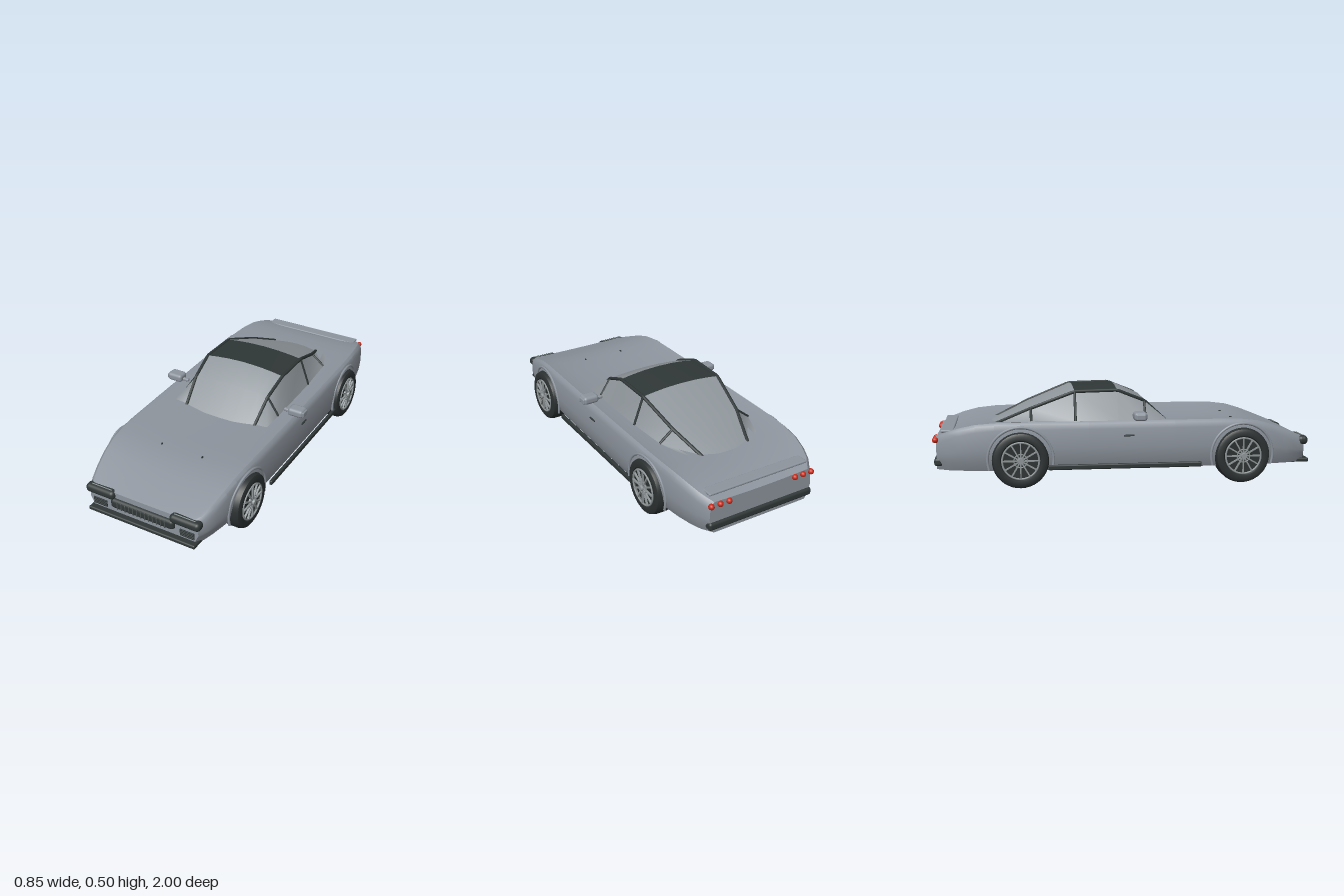
import * as THREE from 'three';
import { toCreasedNormals } from 'three/addons/utils/BufferGeometryUtils.js';
import { RoundedBoxGeometry } from 'three/addons/geometries/RoundedBoxGeometry.js';

const mat = (name, color, side = THREE.FrontSide) => {
  const m = new THREE.MeshStandardMaterial({ color, side });
  m.name = name;
  return m;
};
const V = (x, y, z) => new THREE.Vector3(x, y, z);

// body stations: z, half width, top height at the fender, dip at the centre
const STATIONS = [
  [0.968, 0.315, 0.228, 0.004], [0.93, 0.336, 0.245, 0.008], [0.86, 0.355, 0.273, 0.014],
  [0.78, 0.37, 0.304, 0.02], [0.7, 0.38, 0.328, 0.026], [0.61, 0.386, 0.339, 0.03],
  [0.5, 0.389, 0.342, 0.034], [0.25, 0.391, 0.342, 0.036], [-0.2, 0.392, 0.342, 0.036],
  [-0.55, 0.391, 0.342, 0.036], [-0.68, 0.385, 0.339, 0.033], [-0.78, 0.374, 0.33, 0.027],
  [-0.86, 0.357, 0.312, 0.02], [-0.92, 0.337, 0.292, 0.014], [-0.978, 0.3, 0.264, 0.008],
];

function halfWidth(z) {
  for (let i = 0; i < STATIONS.length - 1; i++) {
    const a = STATIONS[i], b = STATIONS[i + 1];
    if (z <= a[0] && z >= b[0]) return a[1] + (b[1] - a[1]) * (a[0] - z) / (a[0] - b[0]);
  }
  return STATIONS[0][1];
}

// one closed cross-section, running from the floor up the left side and back down the right
function bodySection([z, w, top, dip]) {
  const y0 = 0.09, h = top - y0;
  const half = [[w - 0.028, y0], [w - 0.006, y0 + 0.05], [w, y0 + h * 0.45], [w - 0.003, top - 0.04],
    [w - 0.01, top - 0.014], [w - 0.024, top - 0.002]];
  for (const t of [0.88, 0.7, 0.45, 0.2]) half.push([w * t, top - dip * (1 - t * t)]);
  const pts = [[0, y0], ...half, [0, top - dip], ...half.slice().reverse().map(([x, y]) => [-x, y])];
  return pts.map(([x, y]) => V(x, y, z));
}

function bodyGeometry() {
  const rings = STATIONS.map(bodySection), n = rings[0].length, last = rings.length - 1;
  const pos = rings.flat().flatMap(p => p.toArray()), index = [];
  for (let s = 0; s < last; s++) {
    for (let i = 0; i < n; i++) {
      const j = (i + 1) % n, a = s * n + i, b = s * n + j;
      index.push(a, a + n, b, b, a + n, b + n);
    }
  }
  // end caps
  for (const [s, flip] of [[0, false], [last, true]]) {
    const c = pos.length / 3;
    pos.push(0, 0.16, STATIONS[s][0]);
    for (let i = 0; i < n; i++) {
      const a = s * n + i, b = s * n + (i + 1) % n;
      index.push(c, flip ? b : a, flip ? a : b);
    }
  }
  const g = new THREE.BufferGeometry();
  g.setAttribute('position', new THREE.Float32BufferAttribute(pos, 3));
  g.setIndex(index);
  return toCreasedNormals(g, 0.6);
}

// open surface through rows of points
function sheet(rows) {
  const n = rows[0].length, index = [];
  for (let r = 0; r < rows.length - 1; r++) {
    for (let i = 0; i < n - 1; i++) {
      const a = r * n + i;
      index.push(a, a + 1, a + n, a + 1, a + n + 1, a + n);
    }
  }
  const g = new THREE.BufferGeometry();
  g.setAttribute('position', new THREE.Float32BufferAttribute(rows.flat().flatMap(p => p.toArray()), 3));
  g.setIndex(index);
  g.computeVertexNormals();
  return g;
}

export function createModel() {
  const paint = mat('grey paint', 0x8d949d);
  const glass = mat('grey glass', 0x90979c, THREE.DoubleSide);
  const black = mat('black trim', 0x2f3736);
  const roofBlack = mat('roof black', 0x2f3736, THREE.DoubleSide);
  const rubber = mat('tyre rubber', 0x2b3030);
  const metal = mat('wheel metal', 0x8f9698);
  const slatGrey = mat('slat grey', 0x4a5150);
  const red = mat('lamp red', 0xc92a18);

  const car = new THREE.Group();
  car.name = 'sportsCar';
  const add = (name, geo, m, x = 0, y = 0, z = 0, parent = car) => {
    const mesh = new THREE.Mesh(geo, m);
    mesh.name = name;
    mesh.position.set(x, y, z);
    parent.add(mesh);
    return mesh;
  };
  const box = (w, h, d, r) => new RoundedBoxGeometry(w, h, d, 3, r);
  // straight-segment bar along points
  const bar = (pts, r) => {
    const path = new THREE.CurvePath();
    for (let i = 0; i < pts.length - 1; i++) path.add(new THREE.LineCurve3(pts[i], pts[i + 1]));
    return new THREE.TubeGeometry(path, Math.max(2, pts.length * 8), r, 8);
  };

  add('body', bodyGeometry(), paint);

  // cabin: rail position, crown over the rail, base of the side glass
  const cabin = [
    { rail: V(0.21, 0.308, 0.238), crown: 0, bow: 0.014, base: V(0.283, 0.325, 0.23) },
    { rail: V(0.222, 0.425, 0.11), crown: 0.014, bow: 0, base: V(0.287, 0.328, 0.11) },
    { rail: V(0.233, 0.483, -0.035), crown: 0.021, bow: 0, base: V(0.287, 0.328, -0.035) },
    { rail: V(0.231, 0.478, -0.26), crown: 0.018, bow: 0, base: V(0.285, 0.328, -0.26) },
    { rail: V(0.196, 0.388, -0.49), crown: 0.012, bow: 0, base: V(0.272, 0.328, -0.49) },
    { rail: V(0.137, 0.303, -0.675), crown: 0.004, bow: -0.02, base: V(0.222, 0.32, -0.63) },
  ];
  const across = ({ rail, crown, bow }) => [-1, -0.75, -0.4, 0, 0.4, 0.75, 1].map(t =>
    V(rail.x * t, rail.y + crown * (1 - t * t), rail.z + bow * (1 - t * t)));
  const over = (a, b) => sheet(cabin.slice(a, b + 1).map(across));
  add('windscreen', over(0, 2), glass);
  add('roofPanel', over(2, 3), roofBlack);
  add('rearWindow', over(3, 5), glass);

  for (const [side, s] of [['left', 1], ['right', -1]]) {
    const m = p => V(p.x * s, p.y, p.z);
    // side glass, rail and struts
    add(side + 'SideGlass', sheet(cabin.map(c => [m(c.rail), m(c.base)])), glass);
    add(side + 'RoofRail', bar(cabin.map(c => m(c.rail)), 0.009), black);
    for (const i of [1, 3, 4]) add(side + 'WindowStrut', bar([m(cabin[i].rail), m(cabin[i].base)], 0.007), black);

    // door mirror
    add(side + 'Mirror', box(0.088, 0.044, 0.068, 0.016), paint, s * 0.377, 0.363, 0.066);
    add(side + 'MirrorCap', box(0.02, 0.03, 0.05, 0.006), paint, s * 0.416, 0.361, 0.066);
    add(side + 'MirrorStalk', box(0.05, 0.018, 0.02, 0.007), paint, s * 0.325, 0.354, 0.066);

    // door handle, sill and washer jet
    add(side + 'DoorHandle', box(0.008, 0.008, 0.055, 0.003), black, s * 0.392, 0.265, 0.008);
    add(side + 'Sill', box(0.018, 0.027, 0.8, 0.007), black, s * 0.393, 0.107, -0.01);
    add(side + 'WasherJet', box(0.008, 0.008, 0.012, 0.002), black, s * 0.12, 0.314, 0.61);

    // headlamp and lower vent
    add(side + 'Headlamp', box(0.17, 0.048, 0.055, 0.021), black, s * 0.245, 0.208, 0.962);
    add(side + 'LampTrim', box(0.12, 0.004, 0.006, 0.001), metal, s * 0.24, 0.231, 0.965);
    for (let i = 0; i < 4; i++) {
      add(side + 'VentBlade', box(0.08, 0.0085, 0.012, 0.002), black, s * 0.253, 0.125 + i * 0.0095, 0.968);
    }

    // tail lamps
    for (const x of [0.195, 0.245, 0.295]) {
      const lamp = add(side + 'TailLamp', new THREE.SphereGeometry(0.015, 16, 12), red, s * x, 0.245, -0.982);
      lamp.scale.z = 1.1;
    }

    // wheels with arch lips following the body side
    for (const [end, z] of [['Front', 0.61], ['Rear', -0.55]]) {
      const wheel = new THREE.Group();
      wheel.name = side + end + 'Wheel';
      wheel.position.set(s * 0.355, 0.147, z);
      wheel.rotation.z = -s * Math.PI / 2;
      car.add(wheel);
      const tyre = [[0, -0.05], [0.09, -0.05], [0.125, -0.056], [0.139, -0.048], [0.146, -0.028], [0.146, 0.028],
        [0.139, 0.048], [0.125, 0.056], [0.104, 0.053], [0.096, 0.04], [0, 0.036]];
      add('tyre', toCreasedNormals(new THREE.LatheGeometry(tyre.map(p => new THREE.Vector2(...p)), 40), 0.7),
        rubber, 0, 0, 0, wheel);
      add('rimRing', new THREE.TorusGeometry(0.094, 0.005, 8, 40).rotateX(Math.PI / 2), metal, 0, 0.052, 0, wheel);
      add('hubRing', new THREE.TorusGeometry(0.034, 0.003, 6, 24).rotateX(Math.PI / 2), metal, 0, 0.054, 0, wheel);
      add('hub', new THREE.CylinderGeometry(0.014, 0.018, 0.03, 16), metal, 0, 0.054, 0, wheel);
      for (let i = 0; i < 12; i++) {
        const spoke = add('spoke', new THREE.BoxGeometry(0.085, 0.01, 0.007).translate(0.052, 0, 0), metal,
          0, 0.053, 0, wheel);
        spoke.rotation.y = i * Math.PI / 6;
      }
      const lip = [];
      for (let i = 0; i <= 20; i++) {
        const a = -0.3 + (Math.PI + 0.6) * i / 20, lz = z + Math.cos(a) * 0.168;
        lip.push(V(s * (halfWidth(lz) - 0.002), 0.147 + Math.sin(a) * 0.168, lz));
      }
      add(side + end + 'ArchLip', new THREE.TubeGeometry(new THREE.CatmullRomCurve3(lip), 40, 0.007, 8), paint);
    }
  }

  // grille with upright slats
  add('grille', box(0.37, 0.056, 0.05, 0.02), black, 0, 0.166, 0.962);
  for (let i = 0; i < 13; i++) {
    add('grilleSlat', box(0.006, 0.042, 0.008, 0.002), slatGrey, -0.138 + i * 0.023, 0.166, 0.986);
  }

  // front splitter, rear bumper and tail spoiler
  add('frontSplitter', box(0.62, 0.022, 0.11, 0.008), black, 0, 0.098, 0.945);
  add('rearBumper', box(0.61, 0.042, 0.045, 0.014), black, 0, 0.13, -0.968);
  add('tailSpoiler', box(0.575, 0.014, 0.066, 0.006), paint, 0, 0.288, -0.922);
  return car;
}
